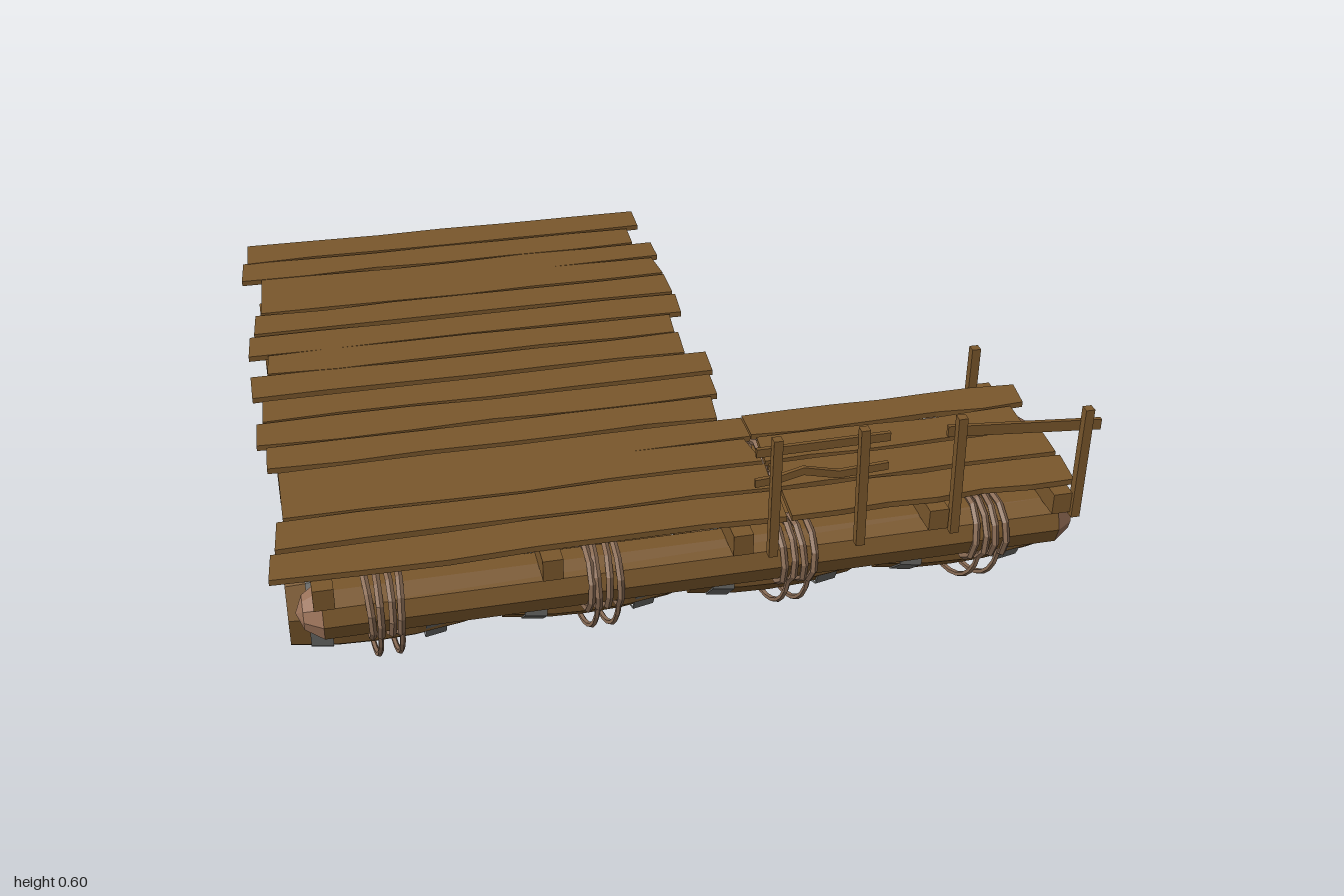
import * as THREE from 'three';

const mat = (name, color) => {
  const m = new THREE.MeshStandardMaterial({ color });
  m.name = name;
  m.flatShading = true;
  return m;
};

export function createModel() {
  const raft = new THREE.Group();
  raft.name = 'raft';
  const wood = mat('wood', 0x7a572c);
  const cutWood = mat('cut wood', 0x9a7259);
  const ropeMat = mat('rope', 0x8a6c55);
  const iron = mat('iron', 0x6e6e6b);

  let seed = 7;
  const jitter = (a) => {
    seed = (seed * 16807) % 2147483647;
    return (seed / 2147483647 - 0.5) * 2 * a;
  };

  const add = (name, geo, material, x = 0, y = 0, z = 0, parent = raft) => {
    const mesh = new THREE.Mesh(geo, material);
    mesh.name = name;
    mesh.position.set(x, y, z);
    parent.add(mesh);
    return mesh;
  };
  const box = (name, x0, x1, y0, y1, z0, z1) =>
    add(name, new THREE.BoxGeometry(x1 - x0, y1 - y0, z1 - z0), wood,
      (x0 + x1) / 2, (y0 + y1) / 2, (z0 + z1) / 2);
  // Lathe whose profile runs along x: points are [radius, x]
  const latheX = (points, sides) => {
    const geo = new THREE.LatheGeometry(points.map(([r, x]) => new THREE.Vector2(r, x)), sides);
    return geo.rotateZ(-Math.PI / 2);
  };

  // Plank with wavy long edges; crack = [tip x, z, half width] splits the +x end
  function plank(x0, x1, z0, z1, crack) {
    const n = 6, back = [], front = [];
    for (let i = 0; i <= n; i++) {
      const x = x0 + ((x1 - x0) * i) / n;
      back.push(new THREE.Vector2(x, -(z0 + jitter(0.006))));
      front.unshift(new THREE.Vector2(x, -(z1 + jitter(0.006))));
    }
    front[0].x -= Math.abs(jitter(0.012));
    back[0].x += Math.abs(jitter(0.012));
    const split = crack ? [
      new THREE.Vector2(x1, -(crack[1] - crack[2])),
      new THREE.Vector2(crack[0], -crack[1]),
      new THREE.Vector2(x1 - 0.02, -(crack[1] + crack[2])),
    ] : [];
    const shape = new THREE.Shape([...back, ...split, ...front]);
    const geo = new THREE.ExtrudeGeometry(shape, { depth: 0.015, bevelEnabled: false });
    geo.rotateX(-Math.PI / 2);
    add('deckPlank', geo, wood, 0, 0.356 + jitter(0.002), 0);
  }
  [
    [-0.98, 0.20, -0.865, -0.758], [-1, 0.16, -0.752, -0.65],
    [-0.955, 0.21, -0.64, -0.437, [-0.1, -0.547, 0.006]],
    [-0.98, 0.20, -0.425, -0.322], [-1, 0.205, -0.31, -0.203],
    [-0.955, 0.16, -0.195, -0.095], [-1, 0.16, -0.087, 0.02],
    [-0.98, 0.205, 0.037, 0.143], [-1, 0.185, 0.153, 0.26],
    [-0.98, 0.16, 0.27, 0.368],
    [-0.955, 0.208, 0.383, 0.588, [-0.1, 0.478, 0.004]],
    [-0.98, 0.208, 0.598, 0.703], [-1, 0.205, 0.715, 0.822],
    [0.213, 0.95, 0.37, 0.467], [0.213, 0.90, 0.482, 0.588],
    [0.213, 0.93, 0.598, 0.703], [0.21, 0.93, 0.715, 0.822],
  ].forEach((p) => plank(...p));

  // Joists under the deck
  for (const x of [-0.885, -0.365, 0.085]) box('joist', x - 0.024, x + 0.024, 0.3, 0.355, -0.83, 0.86);
  box('joist', 0.541, 0.589, 0.3, 0.355, 0.37, 0.86);
  box('joist', 0.855, 0.902, 0.3, 0.355, 0.33, 0.86);

  // Railing posts and the lone mooring post
  for (const [x, top, lean] of [[0.155, 0.61, 0], [0.365, 0.61, 0.02], [0.6, 0.61, 0.02], [0.912, 0.592, 0]])
    box('railingPost', x - 0.011, x + 0.011, 0.29, top, 0.848, 0.87).rotation.z = lean;
  box('mooringPost', 0.83, 0.853, 0.3, 0.482, 0.343, 0.366);

  // Railing bars: centre line points, extruded to a thin board
  function rail(points, h) {
    const top = points.map(([x, y]) => new THREE.Vector2(x, y + h));
    const bottom = points.map(([x, y]) => new THREE.Vector2(x, y - h)).reverse();
    const geo = new THREE.ExtrudeGeometry(new THREE.Shape([...bottom, ...top]), { depth: 0.01, bevelEnabled: false });
    add('railingBar', geo, wood, 0, 0, 0.84);
  }
  rail([[0.11, 0.57], [0.43, 0.573]], 0.011);
  rail([[0.11, 0.488], [0.165, 0.492], [0.225, 0.507], [0.31, 0.486], [0.43, 0.493]], 0.01);
  rail([[0.57, 0.567], [0.955, 0.536]], 0.014);

  // Logs with pale rounded ends
  const LOG_Y = 0.235, LOG_R = 0.071;
  function log(x0, x1, z) {
    const g = new THREE.Group();
    g.name = 'log';
    g.position.set(0, LOG_Y, z);
    raft.add(g);
    const a = x0 + 0.06, b = x1 - 0.06;
    add('logBody', latheX([[LOG_R, a], [LOG_R, b]], 10), wood, 0, 0, 0, g);
    const cap = latheX([[LOG_R, 0], [0.042, 0.043], [0, 0.06]], 10);
    add('logEnd', cap, cutWood, b, 0, 0, g);
    add('logEnd', cap, cutWood, a, 0, 0, g).rotation.y = Math.PI;
  }

  // Barrel with recessed heads and two iron hoops
  const barrelGeo = latheX([
    [0, -0.19], [0.103, -0.19], [0.108, -0.208], [0.119, -0.208], [0.134, -0.09], [0.137, 0],
    [0.134, 0.09], [0.119, 0.208], [0.108, 0.208], [0.103, 0.19], [0, 0.19],
  ], 9);
  const hoopGeo = latheX([
    [0.122, -0.026], [0.129, -0.026], [0.137, 0.026], [0.13, 0.026],
  ], 9);
  function barrel(x, z) {
    const g = new THREE.Group();
    g.name = 'barrel';
    g.position.set(x, 0.155, z);
    g.rotation.x = jitter(0.3);
    raft.add(g);
    add('barrelBody', barrelGeo, wood, 0, 0, 0, g);
    add('barrelHoop', hoopGeo, iron, -0.135, 0, 0, g);
    add('barrelHoop', hoopGeo, iron, 0.135, 0, 0, g).rotation.y = Math.PI;
  }

  // Rope coils round each log, and slings passing below the barrel
  const coilGeo = new THREE.TorusGeometry(0.079, 0.009, 5, 10).rotateY(Math.PI / 2);
  function lashing(x, z, logZs) {
    for (const lz of logZs)
      for (let i = 0; i < 4; i++) {
        const coil = add('ropeCoil', coilGeo, ropeMat, x + (i - 1.5) * 0.024, LOG_Y + jitter(0.003), lz);
        coil.rotation.set(jitter(0.3), jitter(0.06), jitter(0.08));
      }
    const half = (logZs[0] - logZs[1]) / 2 + 0.055;
    const mid = (logZs[0] + logZs[1]) / 2;
    for (const s of [-1, 1]) {
      const pts = [];
      for (let i = 0; i <= 10; i++) {
        const t = (Math.PI * i) / 10;
        pts.push(new THREE.Vector3(x + s * 0.025 + 0.012 * Math.cos(t),
          0.22 - 0.204 * Math.sin(t), mid + half * Math.cos(t)));
      }
      add('ropeSling', new THREE.TubeGeometry(new THREE.CatmullRomCurve3(pts), 16, 0.007, 5), ropeMat);
    }
  }

  // Three floats: barrels slung between a pair of logs
  const floats = [
    { z: 0.6, logs: [[-0.95, 0.95, 0.77], [-0.93, 1.0, 0.43]], xs: [-0.76, -0.25, 0.215, 0.7] },
    { z: 0.005, logs: [[-0.95, 0.18, 0.125], [-0.93, 0.2, -0.13]], xs: [-0.75, -0.08] },
    { z: -0.655, logs: [[-0.93, 0.18, -0.52], [-0.95, 0.18, -0.79]], xs: [-0.75, -0.08] },
  ];
  for (const f of floats) {
    f.logs.forEach((l) => log(...l));
    for (const x of f.xs) {
      barrel(x, f.z);
      lashing(x + 0.01, f.z, f.logs.map((l) => l[2]));
    }
  }
  return raft;
}
